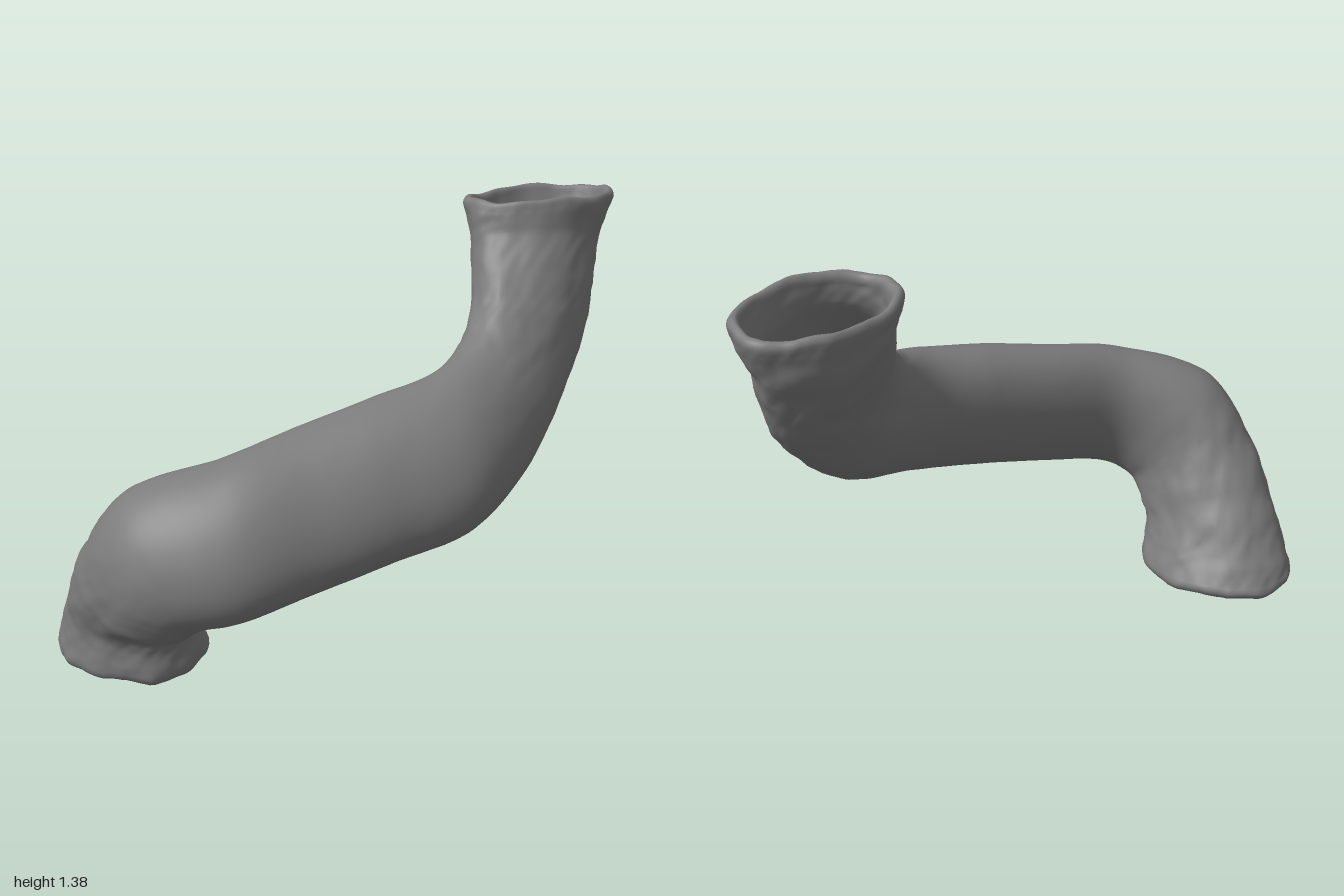
import * as THREE from 'three';

// Stations along the pipe: centre, long half-axis, short half-axis of each oval section
const STATIONS = [
  [[-0.76, 0.045, -0.02], [-0.14, 0, -0.24], [-0.19, -0.005, 0.13]],
  [[-0.77, 0.17, 0.03], [-0.11, 0.01, -0.222], [-0.172, 0, 0.09]],
  [[-0.76, 0.32, 0.158], [-0.065, 0.12, -0.185], [-0.182, 0.015, 0.055]],
  [[-0.69, 0.455, 0.262], [-0.045, 0.19, -0.152], [-0.142, 0.068, 0.11]],
  [[-0.5, 0.525, 0.338], [0, 0.222, -0.128], [-0.05, 0.07, 0.143]],
  [[-0.25, 0.585, 0.305], [0, 0.23, -0.122], [0, 0.07, 0.138]],
  [[0, 0.64, 0.27], [0, 0.233, -0.122], [0, 0.072, 0.138]],
  [[0.25, 0.69, 0.215], [-0.04, 0.23, -0.1], [0.03, 0.06, 0.138]],
  [[0.465, 0.79, 0.04], [-0.118, 0.192, -0.005], [0.065, 0.05, 0.112]],
  [[0.63, 0.985, -0.145], [-0.208, 0.088, 0.068], [0.04, 0.08, 0.125]],
  [[0.695, 1.19, -0.288], [-0.235, 0.03, 0.078], [0.045, 0.05, 0.155]],
  [[0.728, 1.332, -0.335], [-0.265, 0.015, 0.085], [0.06, 0.02, 0.172]],
];
const SIDES = 80, STEPS = 120;
const { smoothstep, lerp } = THREE.MathUtils;

// Irregular lumps from overlapping waves in space
function lumps({ x, y, z }) {
  const wave = (f, o) => Math.sin(f * x + 1.7 * Math.sin(0.7 * f * y + o))
    * Math.sin(f * y + 1.3 * Math.sin(0.6 * f * z + o)) * Math.sin(f * z + 0.9 * f * x + o);
  return wave(15, 0.4) + 0.6 * wave(31, 2.1) + 0.4 * wave(58, 4);
}

// Bore relative to the outside: thick lip at the foot, thinner at the top
const bore = (s) => lerp(0.72, 0.86, smoothstep(s, 0, 0.25));

// Closed lengthwise profile: outer wall, top lip, inner wall, bottom lip
function lengthProfile() {
  const rows = [];
  const lip = (s, dir) => {
    for (let i = 1; i < 7; i++) {
      const p = (Math.PI * i) / 7;
      const scale = lerp(bore(s), 1, 0.5 + 0.5 * dir * Math.cos(p));
      rows.push({ s, scale, lift: (s ? 0.024 : -0.032) * Math.sin(p) });
    }
  };
  for (let i = 0; i <= STEPS; i++) rows.push({ s: i / STEPS, scale: 1, lift: 0 });
  lip(1, 1);
  for (let i = STEPS; i >= 0; i--) rows.push({ s: i / STEPS, scale: bore(i / STEPS), lift: 0 });
  lip(0, -1);
  return rows;
}

function pipeGeometry() {
  const [centre, longAxis, shortAxis] = [0, 1, 2].map((k) => new THREE.CatmullRomCurve3(
    STATIONS.map((st) => new THREE.Vector3(...st[k])), false, 'catmullrom', 0.5));
  const rows = lengthProfile();
  const pos = [], index = [];
  const offset = new THREE.Vector3(), p = new THREE.Vector3();
  rows.forEach(({ s, scale, lift }, r) => {
    const c = centre.getPoint(s), u = longAxis.getPoint(s), v = shortAxis.getPoint(s);
    // Smooth along the straight run, rougher in the bends and at the mouths
    const rough = 0.004 + 0.03 * smoothstep(Math.abs(s - 0.47), 0.15, 0.35);
    const mouth = smoothstep(Math.abs(s - 0.5), 0.47, 0.5);
    for (let j = 0; j < SIDES; j++) {
      const a = (j / SIDES) * Math.PI * 2;
      offset.copy(u).multiplyScalar(Math.cos(a)).addScaledVector(v, Math.sin(a)).multiplyScalar(scale);
      p.copy(c).add(offset);
      p.addScaledVector(offset, rough * lumps(p));
      p.y += lift + mouth * 0.005 * (Math.sin(4 * a + 9 * s) + 0.5 * Math.sin(9 * a + 1));
      pos.push(p.x, Math.max(p.y, 0), p.z);
      const j2 = (j + 1) % SIDES, r2 = (r + 1) % rows.length;
      const A = r * SIDES + j, B = r * SIDES + j2, C = r2 * SIDES + j2, D = r2 * SIDES + j;
      index.push(A, B, C, A, C, D);
    }
  });
  const geo = new THREE.BufferGeometry();
  geo.setAttribute('position', new THREE.Float32BufferAttribute(pos, 3));
  geo.setIndex(index);
  geo.computeVertexNormals();
  return geo;
}

export function createModel() {
  const group = new THREE.Group();
  group.name = 'bentPipe';
  const pipe = new THREE.Mesh(pipeGeometry(), new THREE.MeshStandardMaterial({ color: 0x7c7c7c }));
  pipe.name = 'hollowPipe';
  group.add(pipe);
  return group;
}
